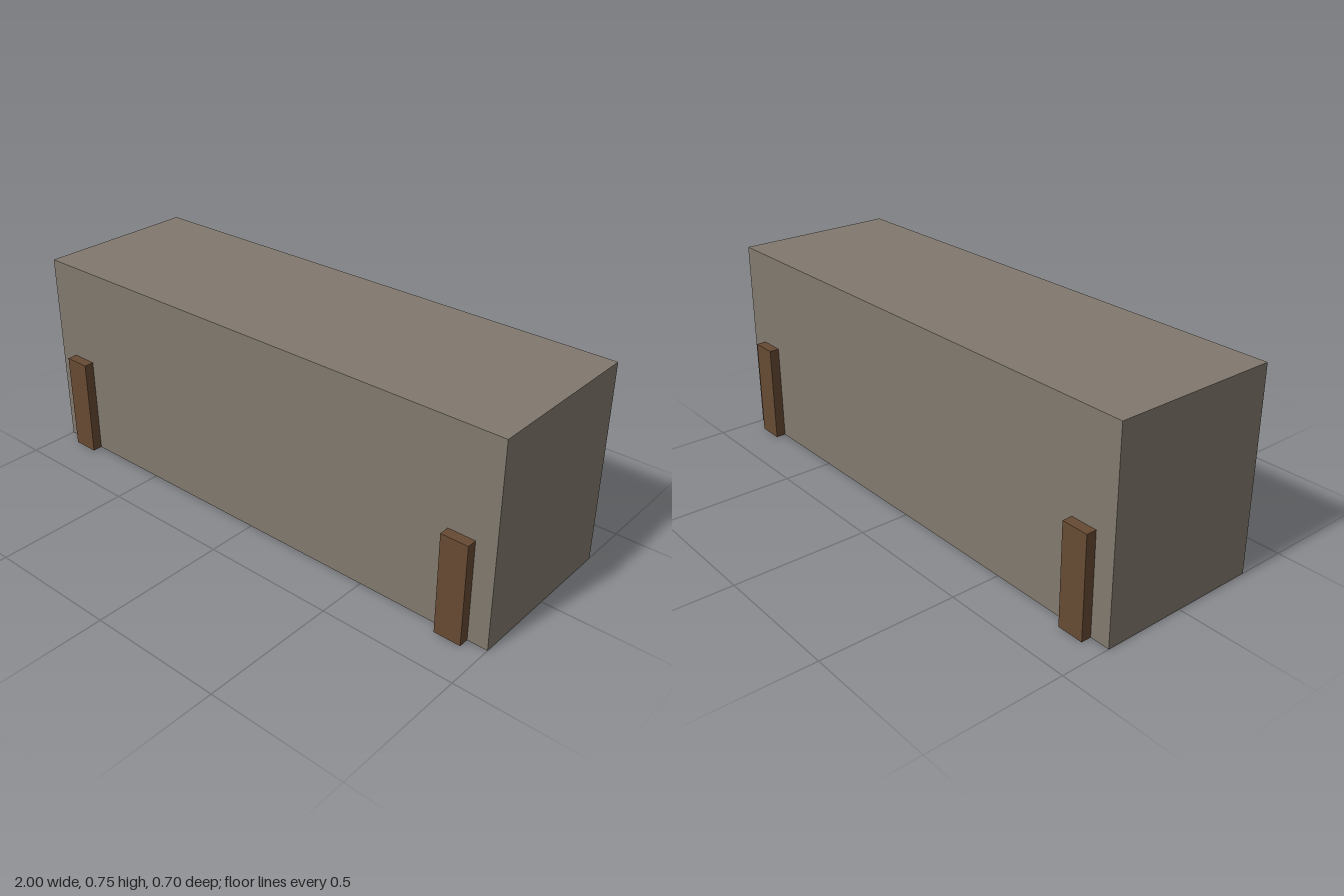
import * as THREE from 'three';

export function createModel() {
  const model = new THREE.Group();
  const stone = new THREE.MeshStandardMaterial({ color: 0x81796e });
  stone.name = 'greyStone';
  const wood = new THREE.MeshStandardMaterial({ color: 0x664a33 });
  wood.name = 'brownWood';

  // Box with its base at y = 0
  function block(name, w, h, d, x, z, material) {
    const mesh = new THREE.Mesh(new THREE.BoxGeometry(w, h, d), material);
    mesh.name = name;
    mesh.position.set(x, h / 2, z);
    model.add(mesh);
  }

  // Solid wall block
  const depth = 0.625;
  block('body', 2, 0.75, depth, 0, 0, stone);

  // Short posts against the front and back, near each end
  const postDepth = 0.0375;
  for (const [side, sx] of [['Left', 1], ['Right', -1]]) {
    for (const [face, sz] of [['front', 1], ['back', -1]]) {
      block(`${face}${side}Post`, 0.1, 0.375, postDepth,
        sx * 0.875, sz * (depth + postDepth) / 2, wood);
    }
  }
  return model;
}
